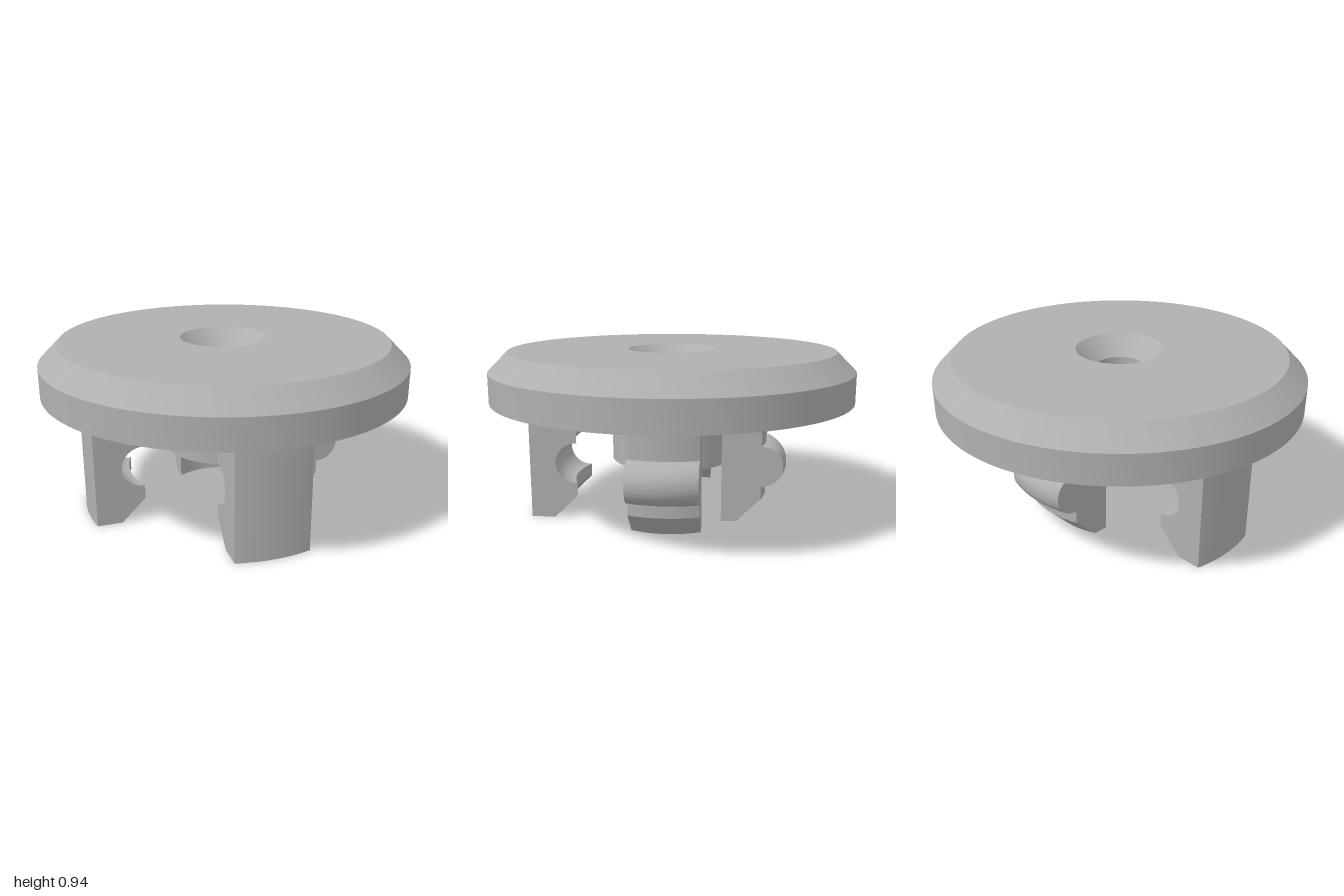
import * as THREE from 'three';
import { toCreasedNormals } from 'three/addons/utils/BufferGeometryUtils.js';

const UNDERSIDE = 0.67; // height of the cap's lower face
const BEAD_Y = 0.315, BEAD_R = 0.113; // snap bead and matching groove

// Straight-sided slice of a revolved profile: extrude (radius, height), then bend along the arc.
function arcLeg(shape, halfWidth) {
  const geo = new THREE.ExtrudeGeometry(shape, {
    depth: halfWidth * 2, steps: 16, curveSegments: 24, bevelEnabled: false,
  });
  geo.translate(0, 0, -halfWidth);
  const p = geo.attributes.position;
  for (let i = 0; i < p.count; i++) {
    const r = p.getX(i), z = p.getZ(i);
    p.setX(i, Math.sqrt(r * r - z * z));
  }
  return toCreasedNormals(geo, 0.5);
}

// Inner leg profile with an outward bead and a tapered tip
function beadProfile() {
  const s = new THREE.Shape();
  s.moveTo(0.342, 0);
  s.lineTo(0.412, 0);
  s.lineTo(0.535, 0.13);
  s.lineTo(0.535, BEAD_Y - BEAD_R);
  s.absarc(0.535, BEAD_Y, BEAD_R, -Math.PI / 2, Math.PI / 2, false);
  s.lineTo(0.535, UNDERSIDE);
  s.lineTo(0.342, UNDERSIDE);
  s.closePath();
  return s;
}

// Outer leg profile with an inward-facing groove and a tapered tip
function grooveProfile() {
  const s = new THREE.Shape();
  s.moveTo(0.672, 0);
  s.lineTo(0.8, 0);
  s.lineTo(0.8, UNDERSIDE);
  s.lineTo(0.548, UNDERSIDE);
  s.lineTo(0.548, BEAD_Y + BEAD_R);
  s.absarc(0.548, BEAD_Y, BEAD_R, Math.PI / 2, -Math.PI / 2, true);
  s.lineTo(0.548, 0.13);
  s.closePath();
  return s;
}

export function createModel() {
  const group = new THREE.Group();
  group.name = 'snapCap';
  const grey = new THREE.MeshStandardMaterial({ color: 0xb0b0b0 });
  grey.name = 'grey';

  const add = (name, geo, angle = 0) => {
    const mesh = new THREE.Mesh(geo, grey);
    mesh.name = name;
    mesh.rotation.y = angle;
    group.add(mesh);
  };

  // Chamfered cap, collar and countersunk through-hole in one closed profile
  const profile = [
    [0.135, 0.32], [0.335, 0.32], [0.335, UNDERSIDE], [1, UNDERSIDE], [1, 0.83],
    [0.895, 0.935], [0.24, 0.935], [0.135, 0.83], [0.135, 0.32],
  ].map(([r, y]) => new THREE.Vector2(r, y));
  add('capWithCollar', toCreasedNormals(new THREE.LatheGeometry(profile, 128), 0.5));

  // Two beaded legs (+x, -z) and two grooved legs (-x, +z)
  const bead = arcLeg(beadProfile(), 0.185);
  const groove = arcLeg(grooveProfile(), 0.2);
  add('beadLegLeft', bead, 0);
  add('beadLegBack', bead, Math.PI / 2);
  add('grooveLegRight', groove, Math.PI);
  add('grooveLegFront', groove, -Math.PI / 2);

  return group;
}
